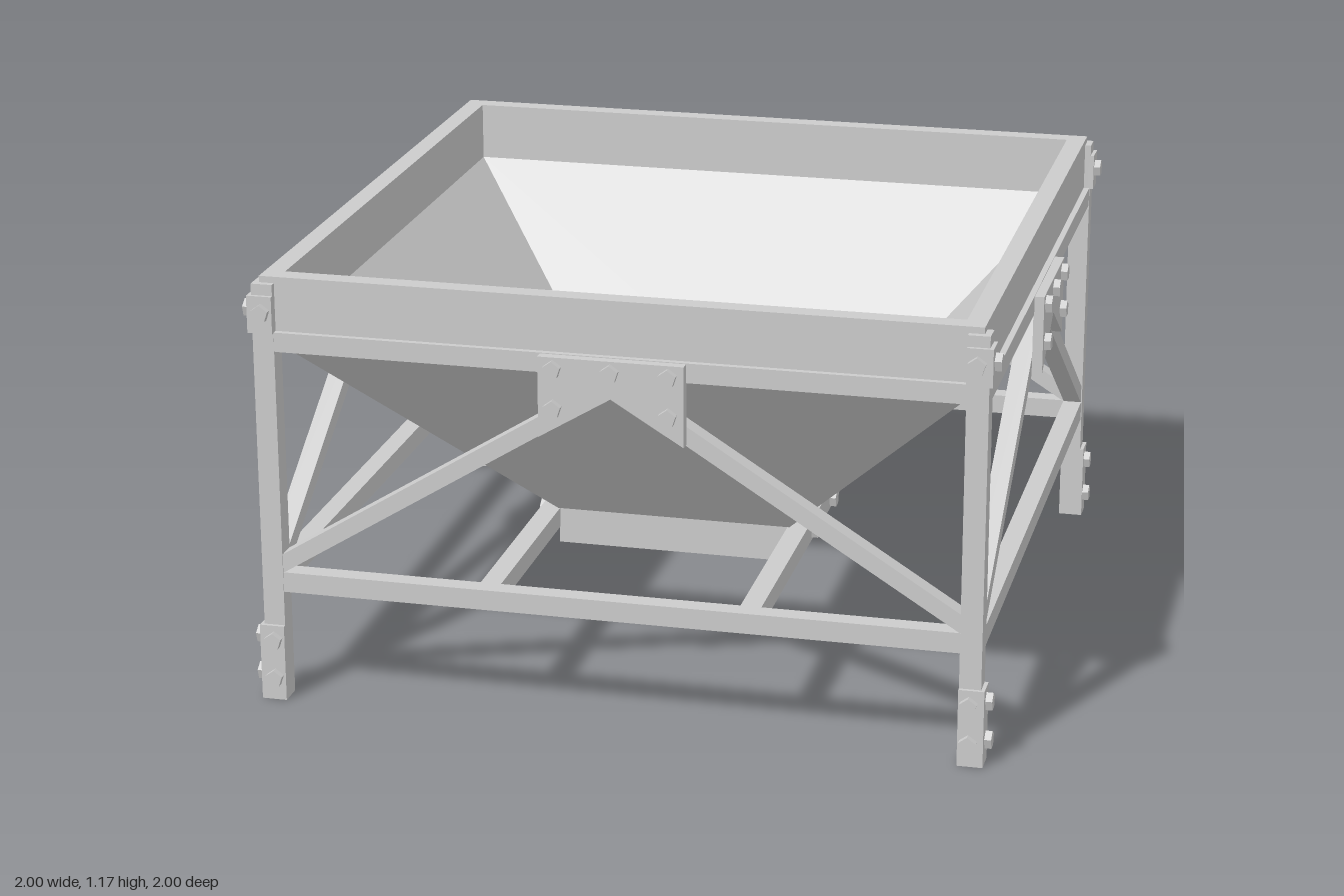
import * as THREE from 'three';

const mat = new THREE.MeshStandardMaterial({ color: 0xcccccc, flatShading: true });

function add(parent, name, geometry) {
  const mesh = new THREE.Mesh(geometry, mat);
  mesh.name = name;
  parent.add(mesh);
  return mesh;
}

// Box given by its limits on each axis
function box(parent, name, [x0, x1], [y0, y1], [z0, z1]) {
  const g = new THREE.BoxGeometry(x1 - x0, y1 - y0, z1 - z0);
  g.translate((x0 + x1) / 2, (y0 + y1) / 2, (z0 + z1) / 2);
  return add(parent, name, g);
}

// Square ring swept from a closed section of [half width, height], counter-clockwise
function squareRing(parent, name, section) {
  const pts = [...section, section[0]].map(([r, y]) => new THREE.Vector2(r * Math.SQRT2, y));
  return add(parent, name, new THREE.LatheGeometry(pts, 4).rotateY(Math.PI / 4));
}

const rect = (r0, r1, y0, y1) => [[r1, y0], [r1, y1], [r0, y1], [r0, y0]];

// Five-sided bolt head pointing to +z
function bolt(parent, x, y, z0, z1) {
  const g = new THREE.CylinderGeometry(0.024, 0.024, z1 - z0, 5).rotateX(-Math.PI / 2);
  add(parent, 'bolt', g.translate(x, y, (z0 + z1) / 2));
}

// Flat polygon in the xy plane, extruded from z0 to z1
function plate(parent, name, points, z0, z1) {
  const shape = new THREE.Shape(points.map(([x, y]) => new THREE.Vector2(x, y)));
  const g = new THREE.ExtrudeGeometry(shape, { depth: z1 - z0, bevelEnabled: false });
  add(parent, name, g.translate(0, 0, z0));
}

// One face of the frame with its corner post
function frameSide(index) {
  const side = new THREE.Group();
  side.name = 'frameSide' + (index + 1);

  box(side, 'post', [0.9, 0.957], [0, 1.15], [0.9, 0.957]);

  // Diagonal braces and the notched gusset where they meet
  for (const s of [-1, 1]) {
    plate(side, 'brace', [[0, 0.92], [s * 0.905, 0.355], [s * 0.905, 0.407], [0, 0.972]], 0.903, 0.954);
  }
  plate(side, 'gusset', [[-0.19, 0.805], [0, 0.92], [0.19, 0.805], [0.19, 1.02], [-0.19, 1.02]], 0.954, 0.982);
  for (const [x, y] of [[-0.15, 0.99], [0, 0.99], [0.15, 0.99], [-0.15, 0.885], [0.15, 0.885]]) {
    bolt(side, x, y, 0.98, 1.0);
  }

  // Bolted angle plates on the feet and upper corners
  for (const s of [-1, 1]) {
    const span = s > 0 ? [0.9, 0.967] : [-0.967, -0.9];
    box(side, 'footPlate', span, [0, 0.21], [0.95, 0.967]);
    box(side, 'cornerPlate', span, [1.02, 1.12], [0.95, 0.967]);
    for (const y of [0.064, 0.17, 1.077]) bolt(side, s * 0.928, y, 0.965, 0.985);
  }

  side.rotation.y = index * Math.PI / 2;
  return side;
}

export function createModel() {
  const model = new THREE.Group();
  model.name = 'hopperOnStand';

  // Hopper: rim, sloping funnel and outlet
  squareRing(model, 'rim', rect(0.887, 0.94, 1.0, 1.167));
  squareRing(model, 'funnel', [[0.325, 0.36], [0.9, 0.97], [0.9, 1.01], [0.887, 1.005], [0.28, 0.36]]);
  squareRing(model, 'outlet', rect(0.28, 0.322, 0.26, 0.362));

  // Stand: upper and lower frames, four sides
  squareRing(model, 'upperFrame', rect(0.9, 0.956, 0.97, 1.022));
  squareRing(model, 'lowerFrame', rect(0.902, 0.955, 0.305, 0.36));
  for (let i = 0; i < 4; i++) model.add(frameSide(i));

  // Two bars holding the outlet, bolted through from outside
  for (const s of [-1, 1]) {
    const support = new THREE.Group();
    support.name = 'outletSupport';
    box(support, 'supportBar', [-0.91, 0.91], [0.305, 0.36], [0.32, 0.375]);
    for (const x of [-0.25, 0, 0.25]) bolt(support, x, 0.332, 0.373, 0.393);
    support.rotation.y = s * Math.PI / 2;
    model.add(support);
  }
  return model;
}
